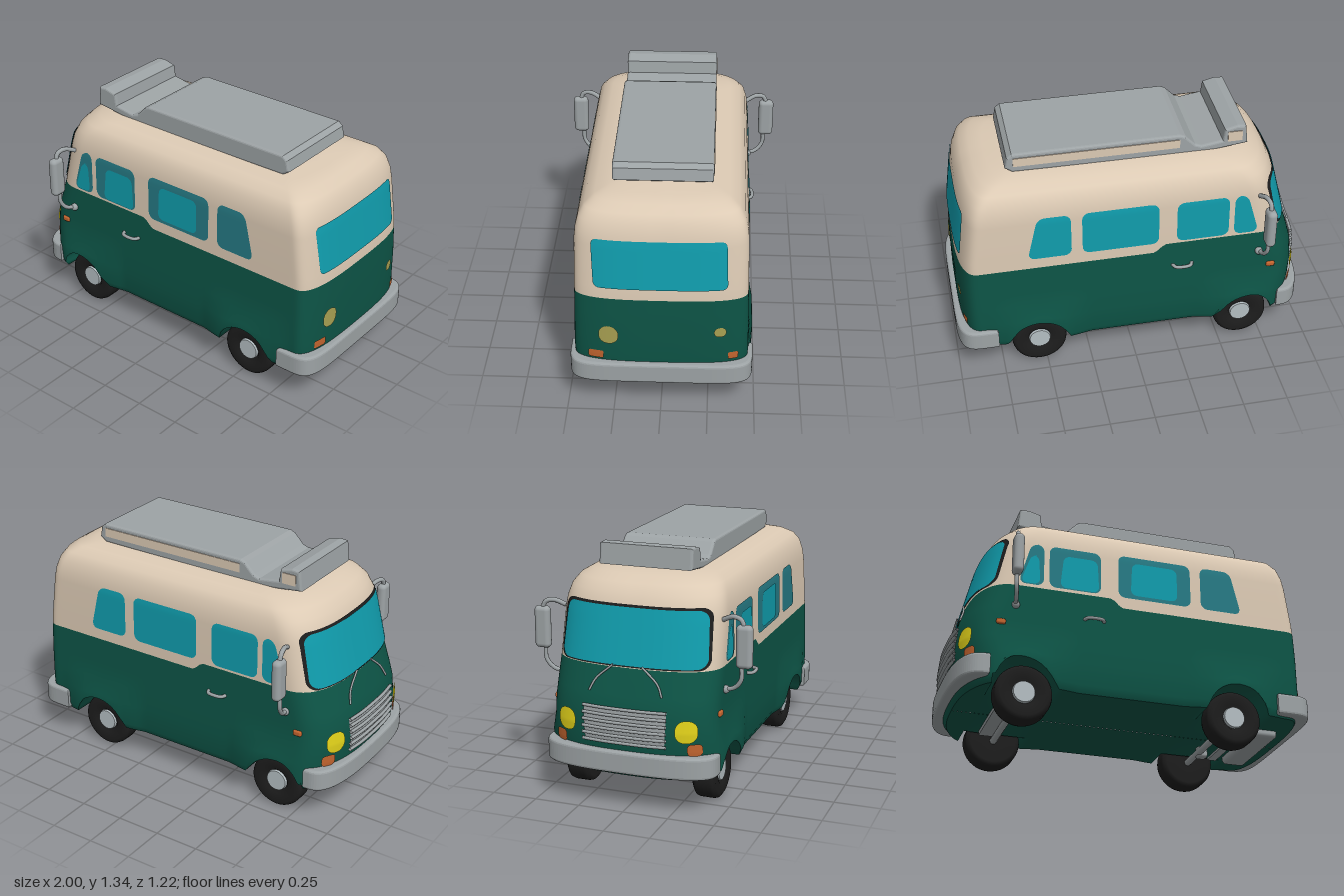
import * as THREE from 'three';
import { RoundedBoxGeometry } from 'three/addons/geometries/RoundedBoxGeometry.js';

const mat = (name, color, side = THREE.FrontSide) => {
  const m = new THREE.MeshStandardMaterial({ color, side });
  m.name = name;
  return m;
};
const D = THREE.DoubleSide;
const green = mat('green paint', 0x0d5446), cream = mat('cream paint', 0xdccab4), metal = mat('grey metal', 0x9da3a5, D);
const glass = mat('glass', 0x109cac, D), darkGlass = mat('dark glass', 0x267a84, D), rubber = mat('black rubber', 0x1d1d1d, D);
const hubMat = mat('hub silver', 0xb4bec2), orange = mat('orange lens', 0xc4652f, D);
const yellow = mat('yellow lens', 0xe2d21a, D), khaki = mat('khaki lens', 0xa9a152, D);

// Body profile rows: height, front x, back x, half width
const ROWS = [
  [0.18, -0.93, 0.95, 0.435], [0.22, -0.955, 0.965, 0.455], [0.35, -0.97, 0.97, 0.46], [0.45, -0.975, 0.97, 0.458],
  [0.55, -0.965, 0.97, 0.456], [0.62, -0.945, 0.968, 0.454], [0.705, -0.912, 0.965, 0.452],
  [0.77, -0.897, 0.96, 0.451], [1.0, -0.84, 0.93, 0.447], [1.06, -0.825, 0.92, 0.44], [1.12, -0.795, 0.9, 0.425],
  [1.165, -0.75, 0.87, 0.395], [1.195, -0.69, 0.82, 0.345], [1.215, -0.6, 0.75, 0.27], [1.23, -0.4, 0.55, 0.13],
  [1.235, -0.25, 0.4, 0.003]];
const BELT = 0.705, WHEELS = [-0.63, 0.54];
const DF = 0.22, PF = 2.6, DB = 0.12, PB = 3;   // roundness of the two ends
const NE = 64, NS = 60;                         // samples per end and per side

function at(y) {
  let i = 0;
  while (i < ROWS.length - 2 && y > ROWS[i + 1][0]) i++;
  const a = ROWS[i], b = ROWS[i + 1], t = (y - a[0]) / (b[0] - a[0]);
  return [1, 2, 3].map(k => a[k] + (b[k] - a[k]) * t);
}

// One point of the horizontal outline, running round from the front
function outline(k, [xf, xb, w]) {
  const front = xf + DF, back = xb - DB, pw = (v, e) => Math.sign(v) * Math.abs(v) ** e;
  if (k < NE) {
    const a = (k / NE - 0.5) * Math.PI;
    return [front - DF * pw(Math.cos(a), 2 / PF), w * pw(Math.sin(a), 2 / PF)];
  }
  if (k < NE + NS) return [front + (back - front) * (k - NE) / NS, w];
  if (k < 2 * NE + NS) {
    const a = (0.5 - (k - NE - NS) / NE) * Math.PI;
    return [back + DB * pw(Math.cos(a), 2 / PB), w * pw(Math.sin(a), 2 / PB)];
  }
  return [back + (front - back) * (k - 2 * NE - NS) / NS, -w];
}

// Lifts the lower edge over the wheels and steps the belt line at the cab
function warpY(y, x) {
  if (y === BELT) return y + 0.05 * (1 - THREE.MathUtils.smoothstep(x, -0.18, -0.1));
  if (y > 0.4) return y;
  for (const c of WHEELS) {
    const d = 0.17 ** 2 - (x - c) ** 2;
    if (d > 0) y = Math.max(y, 0.16 + Math.sqrt(d) + (y - 0.18) * 0.2);
  }
  return y;
}
function flare(x, y) {
  const s = WHEELS.reduce((m, c) => Math.max(m, 1 - Math.abs(x - c) / 0.29), 0);
  return 0.026 * Math.sin(Math.min(1, s * 1.6) * Math.PI / 2) * (1 - THREE.MathUtils.smoothstep(y, 0.32, 0.46));
}

function ring(y, width, warped = true) {
  return Array.from({ length: 2 * (NE + NS) }, (_, k) => {
    const row = v => { const r = at(v); return width ? [r[0], r[1], width] : r; };
    let [x, z] = outline(k, row(y)), h = y;
    if (warped) {
      h = warpY(y, x);
      [x, z] = outline(k, row(h));
    }
    if (!width) z += Math.sign(z) * flare(x, h) * Math.min(1, Math.abs(z) / 0.4) ** 4;
    return [x, h, z];
  });
}

function loft(rings) {
  const n = rings[0].length, idx = [], g = new THREE.BufferGeometry();
  for (let i = 0; i < rings.length - 1; i++) for (let k = 0; k < n; k++) {
    const a = i * n + k, b = i * n + (k + 1) % n;
    idx.push(a, b, b + n, a, b + n, a + n);
  }
  g.setAttribute('position', new THREE.Float32BufferAttribute(rings.flat(2), 3));
  g.setIndex(idx);
  g.computeVertexNormals();
  return g;
}

// Points on the end and side faces, pushed slightly outward
const onEnd = (front, off) => (z, y) => {
  const [xf, xb, w] = at(y), p = front ? PF : PB;
  const t = (1 - Math.min(1, Math.abs(z / w)) ** p) ** (1 / p);
  return [front ? xf + DF - DF * t - off : xb - DB + DB * t + off, y, z];
};
const onSide = (s, off) => (x, y) => [x, y, s * (at(y)[2] + off)];

// Thin round-cornered panel laid on a face: bottom and top spans between two heights
function panel([l0, r0], [l1, r1], y0, y1, rad, place, cols = 24, rows = 20) {
  const pos = [], idx = [];
  for (let j = 0; j <= rows; j++) {
    const v = 0.5 - 0.5 * Math.cos(Math.PI * j / rows), y = y0 + (y1 - y0) * v;
    const d = Math.max(0, rad - Math.min(y - y0, y1 - y)), inset = rad - Math.sqrt(Math.max(0, rad * rad - d * d));
    const l = l0 + (l1 - l0) * v + inset, r = r0 + (r1 - r0) * v - inset;
    for (let i = 0; i <= cols; i++) pos.push(...place(l + (r - l) * i / cols, y));
  }
  for (let j = 0; j < rows; j++) for (let i = 0; i < cols; i++) {
    const a = j * (cols + 1) + i, b = a + cols + 1;
    idx.push(a, a + 1, b + 1, a, b + 1, b);
  }
  const g = new THREE.BufferGeometry();
  g.setAttribute('position', new THREE.Float32BufferAttribute(pos, 3));
  g.setIndex(idx);
  g.computeVertexNormals();
  // face the normals away from the centre of the van
  const n = g.attributes.normal, q = Math.floor(n.count / 2), P = g.attributes.position;
  if (n.getX(q) * P.getX(q) * (Math.abs(n.getX(q)) > 0.5 ? 1 : 0) + n.getZ(q) * P.getZ(q) * (Math.abs(n.getZ(q)) > 0.5 ? 1 : 0) < 0) {
    g.setIndex(idx.reverse());
    g.computeVertexNormals();
  }
  return g;
}

const tube = (pts, r) => new THREE.TubeGeometry(new THREE.CatmullRomCurve3(pts.map(p => new THREE.Vector3(...p))), 24, r, 8);

function bumper(x0, depth, halfW, p, y0, y1) {
  const b = 0.015, s = Math.sign(x0), pts = [];
  for (let i = 0; i <= 48; i++) {
    const a = (i / 48 - 0.5) * Math.PI, e = 2 / p;
    pts.push(new THREE.Vector2(x0 - s * (b + (depth - b) * (1 - Math.cos(a) ** e)),
      (halfW - b) * Math.sign(a) * Math.abs(Math.sin(a)) ** e));
  }
  return new THREE.ExtrudeGeometry(new THREE.Shape(pts), { depth: y1 - y0 - 2 * b, bevelSize: b, bevelThickness: b, bevelSegments: 3 })
    .rotateX(-Math.PI / 2).translate(0, y0 + b, 0);
}

export function createModel() {
  const van = new THREE.Group();
  van.name = 'camperVan';
  const add = (name, geo, material, x = 0, y = 0, z = 0) => {
    const m = new THREE.Mesh(geo, material);
    m.name = name;
    m.position.set(x, y, z);
    van.add(m);
    return m;
  };

  // Shell and underside with wheel wells
  const ys = ROWS.map(r => r[0]);
  add('lowerBody', loft(ys.filter(y => y <= BELT).map(y => ring(y))), green);
  add('upperBody', loft(ys.filter(y => y >= BELT).map(y => ring(y))), cream);
  add('floor', loft([ring(0.18, 0.001, false), ring(0.18, 0.28, false), ring(0.18, 0.285), ring(0.18)]), green);

  // Windscreen and rear window
  add('windscreenFrame', panel([-0.415, 0.415], [-0.405, 0.405], 0.76, 1.07, 0.05, onEnd(true, 0.005), 48), rubber);
  add('windscreen', panel([-0.405, 0.405], [-0.39, 0.39], 0.768, 1.058, 0.05, onEnd(true, 0.009), 48), glass);
  add('rearWindow', panel([-0.345, 0.345], [-0.335, 0.355], 0.77, 1.04, 0.03, onEnd(false, 0.006), 40), glass);

  // Side windows, with lighter inner panes on the left side
  const windows = [[[-0.69, -0.55], [-0.62, -0.55], 1.02], [[-0.52, -0.23], [-0.52, -0.23], 1.02],
    [[-0.13, 0.29], [-0.13, 0.29], 1.03], [[0.35, 0.59], [0.35, 0.53], 1.03]];
  for (const s of [1, -1]) for (const [b, t, top] of windows)
    add('sideWindow', panel(b, t, 0.77, top, 0.04, onSide(s, 0.004)), s > 0 ? darkGlass : glass);
  for (const [b, t, y0, y1] of [[[-0.68, -0.57], [-0.62, -0.58], 0.775, 0.95], [[-0.46, -0.24], [-0.44, -0.25], 0.775, 0.97],
    [[-0.06, 0.21], [-0.05, 0.21], 0.79, 0.99]])
    add('innerPane', panel(b, t, y0, y1, 0.035, onSide(1, 0.007)), glass);

  // Roof pod with front scoop
  const prof = [[-0.645, 1.24], [-0.635, 1.33], [-0.6, 1.333], [-0.54, 1.318], [-0.53, 1.25], [-0.4, 1.23], [-0.36, 1.245],
    [-0.305, 1.302], [-0.28, 1.312], [0.62, 1.312], [0.64, 1.295], [0.65, 1.245], [0.62, 1.225], [-0.4, 1.21]];
  const podShape = new THREE.Shape(prof.map(p => new THREE.Vector2(...p)));
  add('roofPod', new THREE.ExtrudeGeometry(podShape, { depth: 0.49, bevelSize: 0.012, bevelThickness: 0.015, bevelSegments: 3 })
    .translate(0, 0, -0.245), metal);
  add('podSideStrip', new THREE.BoxGeometry(0.9, 0.05, 0.006), cream, 0.17, 1.275, -0.261);
  add('scoopSideStrip', new THREE.BoxGeometry(0.08, 0.06, 0.006), cream, -0.585, 1.285, -0.261);

  // Bumpers
  add('frontBumper', bumper(-1.0, 0.16, 0.475, 2.8, 0.21, 0.33), metal);
  add('rearBumper', bumper(1.0, 0.21, 0.485, 6, 0.19, 0.31), metal);

  // Grille
  const face = onEnd(true, 0.014);
  add('grillePanel', panel([-0.22, 0.22], [-0.23, 0.23], 0.37, 0.56, 0.02, onEnd(true, 0.006)), metal);
  for (let i = 0; i < 6; i++)
    add('grilleSlat', tube([-0.23, -0.12, 0, 0.12, 0.23].map(z => face(z, 0.375 + i * 0.036)), 0.009), metal);

  // Wheels
  const tyre = new THREE.LatheGeometry([[0, -0.06], [0.13, -0.065], [0.15, -0.052], [0.155, -0.035], [0.155, 0.035],
    [0.15, 0.052], [0.13, 0.065], [0.075, 0.06], [0.062, 0.045], [0, 0.045]].map(p => new THREE.Vector2(...p)), 40);
  const hub = new THREE.CylinderGeometry(0.058, 0.063, 0.02, 24);
  for (const x of WHEELS) for (const s of [1, -1]) {
    add('tyre', tyre, rubber, x, 0.157, s * 0.362).rotation.x = s * Math.PI / 2;
    add('hubcap', hub, hubMat, x, 0.16, s * 0.412).rotation.x = s * Math.PI / 2;
  }

  // Paired fittings: lamps, handles, mirrors, wipers
  for (const s of [1, -1]) {
    add('headlight', panel([s * 0.33 - 0.055, s * 0.33 + 0.055], [s * 0.33 - 0.055, s * 0.33 + 0.055], 0.4, 0.52, 0.05, onEnd(true, 0.012)), yellow);
    add('frontIndicator', panel([s * 0.37 - 0.035, s * 0.37 + 0.035], [s * 0.37 - 0.035, s * 0.37 + 0.035], 0.33, 0.395, 0.02, onEnd(true, 0.012)), orange);
    add('sideMarker', new RoundedBoxGeometry(0.05, 0.032, 0.03, 2, 0.01), orange, -0.775, 0.525, s * 0.452);
    add('doorHandle', tube([[-0.32, 0.605, s * 0.45], [-0.305, 0.605, s * 0.478], [-0.225, 0.605, s * 0.478], [-0.21, 0.605, s * 0.45]], 0.01), metal);
    add('mirror', new RoundedBoxGeometry(0.055, 0.23, 0.088, 4, 0.025), metal, -0.72, 0.875, s * 0.564);
    add('mirrorUpperArm', tube([[-0.72, 0.97, s * 0.565], [-0.72, 1.015, s * 0.545], [-0.71, 1.025, s * 0.5], [-0.69, 1.0, s * 0.44]], 0.013), metal);
    add('mirrorLowerArm', tube([[-0.72, 0.78, s * 0.55], [-0.72, 0.7, s * 0.548], [-0.71, 0.65, s * 0.51], [-0.7, 0.63, s * 0.44]], 0.012), metal);
    add('mirrorFoot', new THREE.SphereGeometry(0.022, 12, 8), metal, -0.7, 0.632, s * 0.46);
    add('wiper', tube([face(s * 0.2, 0.63), face(s * 0.17, 0.69), face(s * 0.08, 0.77)], 0.006), metal);
  }

  // Rear lamps
  const rear = (name, z, y, hw, hh, r, m) =>
    add(name, panel([z - hw, z + hw], [z - hw, z + hw], y - hh, y + hh, r, onEnd(false, 0.006)), m);
  rear('largeRearLamp', 0.272, 0.48, 0.052, 0.056, 0.05, khaki);
  rear('smallRearLamp', -0.31, 0.51, 0.032, 0.029, 0.027, khaki);
  rear('rearIndicator', 0.34, 0.348, 0.04, 0.024, 0.01, orange);
  rear('rearIndicator', -0.38, 0.353, 0.027, 0.022, 0.01, orange);

  // Underside: silencer, axles and front plate
  add('silencer', new RoundedBoxGeometry(0.14, 0.06, 0.5, 4, 0.025), metal, 0.8, 0.17, 0);
  add('rearBar', new THREE.BoxGeometry(0.05, 0.014, 0.36), metal, 0.62, 0.12, 0.05);
  for (const x of WHEELS) add('axle', new THREE.CylinderGeometry(0.02, 0.02, 0.62, 12), metal, x, 0.15, 0).rotation.x = Math.PI / 2;
  for (const z of [-0.13, 0.13]) add('axleMount', new RoundedBoxGeometry(0.06, 0.07, 0.06, 2, 0.015), metal, 0.56, 0.155, z);
  add('frontPlate', new THREE.BoxGeometry(0.09, 0.03, 0.5), metal, -0.68, 0.17, 0);
  return van;
}
